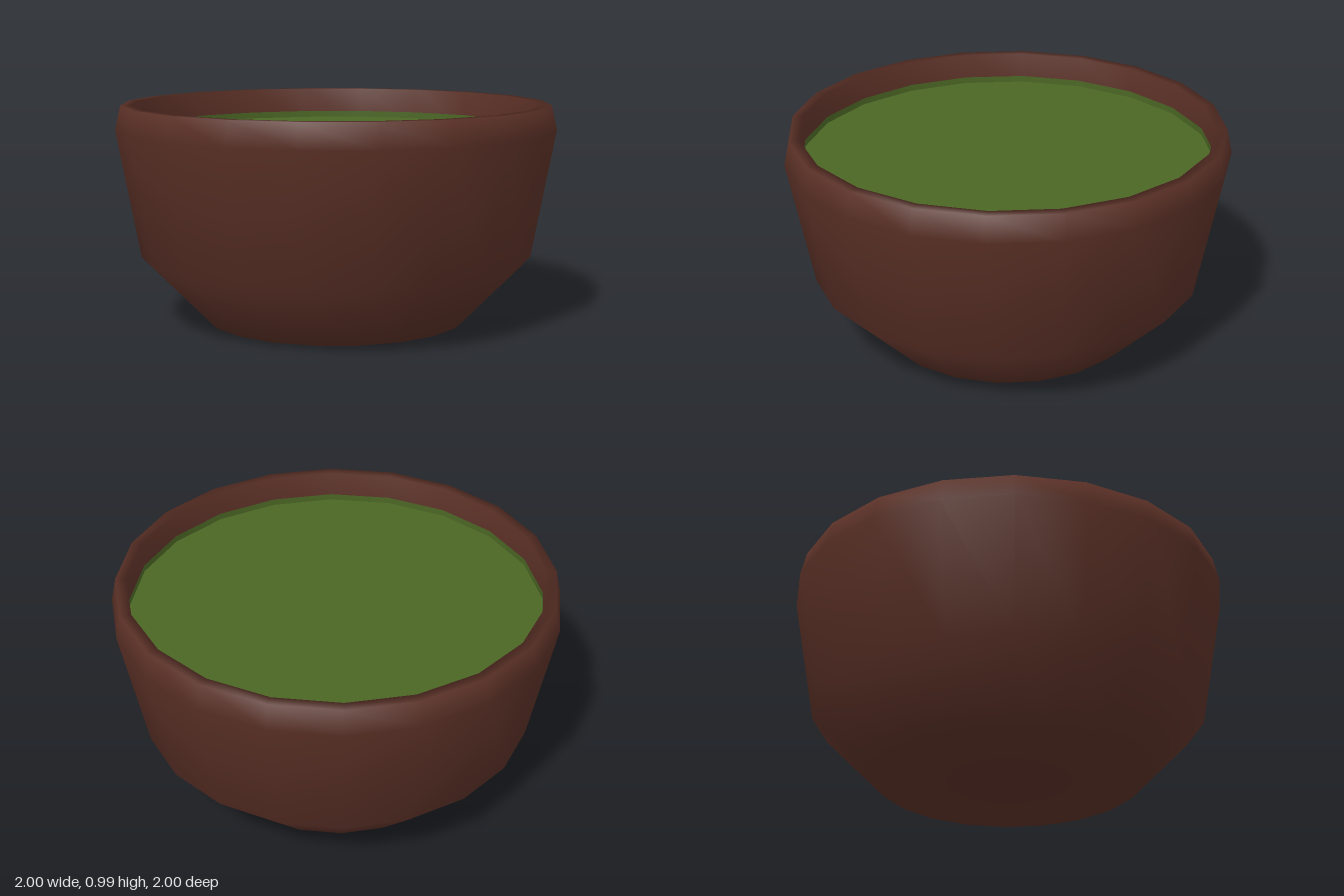
import * as THREE from 'three';

const SIDES = 20;

// Turned surface from [radius, height] pairs
function turned(name, profile, material) {
  const points = profile.map(([r, y]) => new THREE.Vector2(r, y));
  const mesh = new THREE.Mesh(new THREE.LatheGeometry(points, SIDES), material);
  mesh.name = name;
  return mesh;
}

export function createModel() {
  const clay = new THREE.MeshStandardMaterial({ color: 0x5a3026 });
  clay.name = 'brown clay';
  const green = new THREE.MeshStandardMaterial({ color: 0x4b6624, side: THREE.DoubleSide });
  green.name = 'green soup';

  const group = new THREE.Group();
  group.name = 'bowlOfSoup';

  // Bowl: closed base, flared foot, wall, rim and inner lip
  group.add(turned('bowl', [
    [0, 0], [0.6, 0], [0.893, 0.3], [1, 0.88], [0.975, 0.99], [0.927, 0.99], [0.927, 0.8],
  ], clay));

  // Soup surface
  const soup = new THREE.Mesh(new THREE.CircleGeometry(0.926, SIDES), green);
  soup.name = 'soupSurface';
  soup.rotation.x = -Math.PI / 2;
  soup.position.y = 0.845;
  group.add(soup);

  // Thin band of soup clinging to the inner wall
  group.add(turned('soupEdge', [[0.924, 0.875], [0.924, 0.845]], green));

  return group;
}
